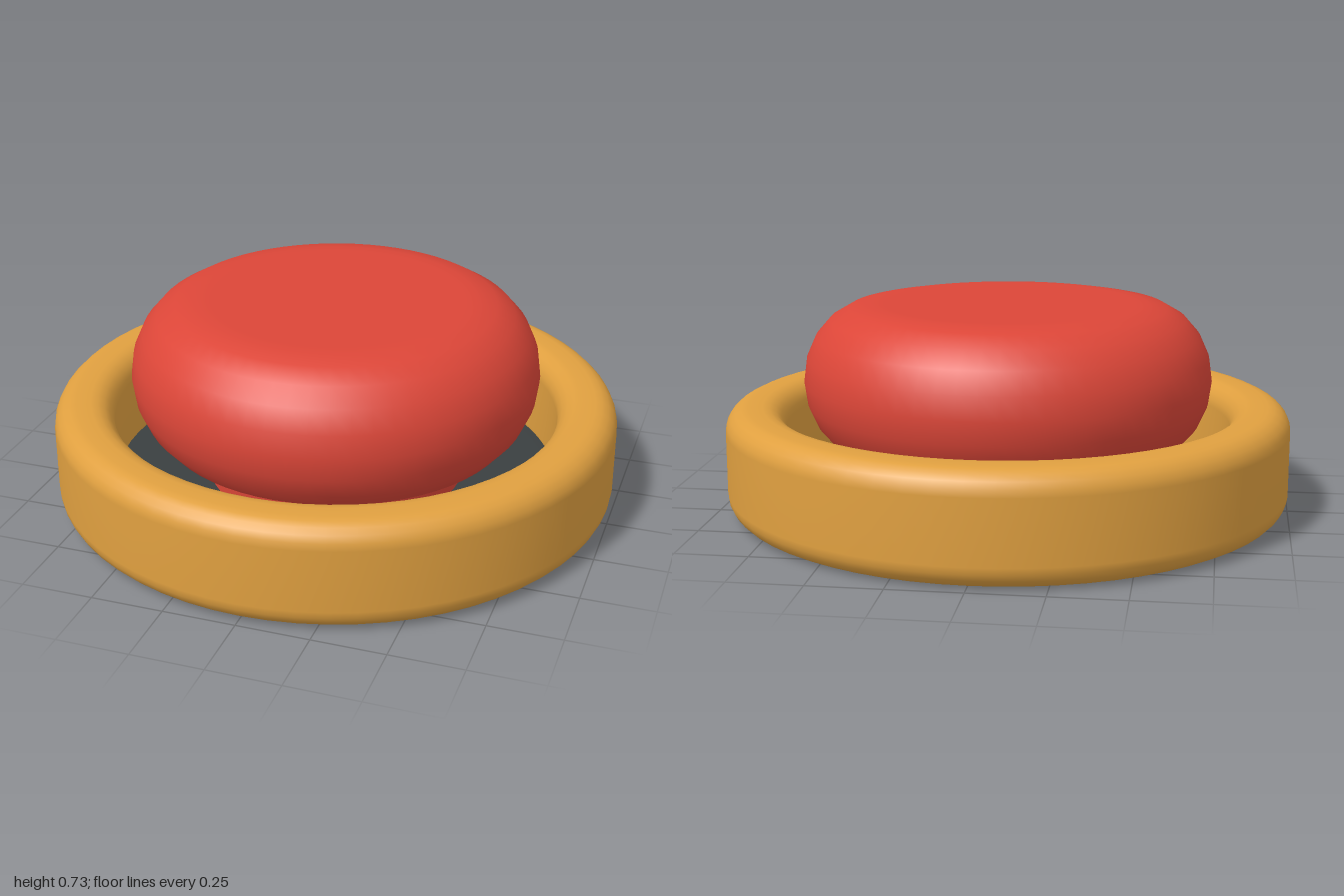
import * as THREE from 'three';

const SIDES = 64;

// Points along a rounded corner, angles in quarter turns
function corner(r, y, rx, ry, from, steps = 5) {
  const pts = [];
  for (let i = 0; i <= steps; i++) {
    const a = (from + i / steps) * Math.PI / 2;
    pts.push(new THREE.Vector2(r + rx * Math.cos(a), y + ry * Math.sin(a)));
  }
  return pts;
}

function turned(name, points, color) {
  const mesh = new THREE.Mesh(
    new THREE.LatheGeometry(points, SIDES),
    new THREE.MeshStandardMaterial({ color })
  );
  mesh.name = name;
  return mesh;
}

export function createModel() {
  const group = new THREE.Group();
  group.name = 'pushButton';

  // Outer housing: rounded rectangular section swept around the axis
  const b = 0.08, inner = 0.79, height = 0.38;
  const ring = [
    ...corner(1 - b, b, b, b, -1),
    ...corner(1 - b, height - b, b, b, 0),
    ...corner(inner + b, height - b, b, b, 1),
    ...corner(inner + b, b, b, b, 2),
  ];
  ring.push(ring[0].clone());
  group.add(turned('housingRing', ring, 0xe0a040));

  // Thin base plate with softened edges, closing the ring
  const c = 0.025;
  group.add(turned('basePlate', [
    new THREE.Vector2(0, 0.02),
    new THREE.Vector2(0.76, 0.02),
    ...corner(0.82 - c, 0.02 + c, c, c, -1, 3),
    ...corner(0.82 - c, 0.07 - c, c, c, 0, 3),
    new THREE.Vector2(0.76, 0.07),
    new THREE.Vector2(0, 0.07),
  ], 0x3a3f40));

  // Push cap: bulging sides, flat top, neck resting on the plate
  group.add(turned('pushCap', [
    new THREE.Vector2(0.46, 0.06),
    new THREE.Vector2(0.46, 0.2),
    ...corner(0.49, 0.465, 0.232, 0.265, -1),
    ...corner(0.49, 0.465, 0.232, 0.265, 0).slice(1),
    new THREE.Vector2(0.44, 0.73),
    new THREE.Vector2(0, 0.73),
  ], 0xdc4638));

  return group;
}
